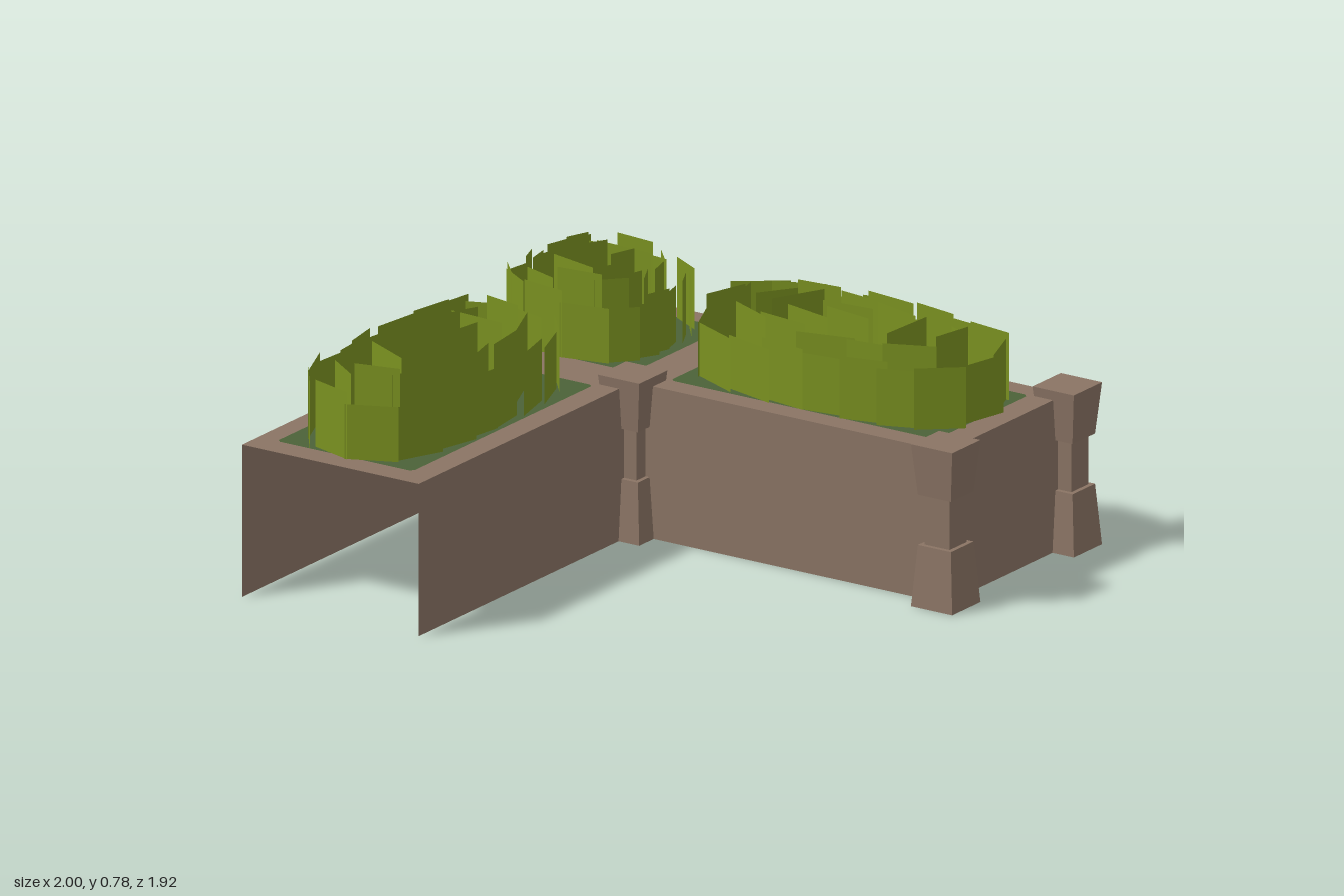
import * as THREE from 'three';

const WALL_H = 0.5;

export function createModel() {
  const model = new THREE.Group();
  model.name = 'cornerPlanter';

  const material = (name, color) => new THREE.MeshStandardMaterial({
    name, color, side: THREE.DoubleSide, flatShading: true });
  const stone = material('stone brown', 0x8a7464);
  const soil = material('soil green', 0x4b6238);
  const leaf = material('leaf green', 0x7a9120);

  const add = (parent, name, geometry, mat) => {
    const mesh = new THREE.Mesh(geometry, mat);
    mesh.name = name;
    parent.add(mesh);
    return mesh;
  };

  // Walls: single sheets, seen from both sides; the front of the arm stays open
  const wall = (name, x1, z1, x2, z2) => {
    const mesh = add(model, name,
      new THREE.PlaneGeometry(Math.hypot(x2 - x1, z2 - z1), WALL_H), stone);
    mesh.position.set((x1 + x2) / 2, WALL_H / 2, (z1 + z2) / 2);
    mesh.rotation.y = Math.atan2(-(z2 - z1), x2 - x1);
  };
  wall('backWall', 0.92, -0.885, -0.92, -0.885);
  wall('rightWall', -0.92, -0.885, -0.92, 0.96);
  wall('leftWall', 0.92, -0.22, 0.92, -0.885);
  wall('frontWall', -0.255, -0.22, 0.92, -0.22);
  wall('armInnerWall', -0.255, 0.96, -0.255, -0.22);

  // Planting beds: x and z ranges of the soil, centre of the clump
  const beds = [
    { x1: -0.87, x2: -0.31, z1: -0.81, z2: -0.3 },
    { x1: -0.17, x2: 0.83, z1: -0.81, z2: -0.3 },
    { x1: -0.85, x2: -0.34, z1: -0.125, z2: 0.87 },
  ];
  const bedOutline = ({ x1, x2, z1, z2 }, r = 0.012) => [
    [x1 + r, z1], [x2 - r, z1], [x2, z1 + r], [x2, z2 - r],
    [x2 - r, z2], [x1 + r, z2], [x1, z2 - r], [x1, z1 + r],
  ].map(([x, z]) => new THREE.Vector2(x, -z));
  const flat = (shape) => new THREE.ShapeGeometry(shape)
    .rotateX(-Math.PI / 2).translate(0, WALL_H, 0);

  // L-shaped rim with an opening for each bed
  const rim = new THREE.Shape([
    [-0.92, 0.96], [-0.255, 0.96], [-0.255, -0.22],
    [0.92, -0.22], [0.92, -0.885], [-0.92, -0.885],
  ].map(([x, z]) => new THREE.Vector2(x, -z)));
  beds.forEach((bed) => rim.holes.push(new THREE.Path(bedOutline(bed))));
  add(model, 'rim', flat(rim), stone);
  beds.forEach((bed) => add(model, 'soil', flat(new THREE.Shape(bedOutline(bed))), soil));

  // Square pillars with a narrow waist, open underneath
  const profile = [
    [0.0775, 0], [0.062, 0.2], [0.047, 0.2], [0.047, 0.365],
    [0.062, 0.365], [0.0775, 0.532], [0, 0.532],
  ].map(([r, y]) => new THREE.Vector2(r * Math.SQRT2, y));
  const pillarGeometry = new THREE.LatheGeometry(profile, 4).rotateY(Math.PI / 4);
  for (const x of [-0.9225, -0.255, 0.9225]) {
    for (const z of [-0.8875, -0.2175]) {
      add(model, 'pillar', pillarGeometry, stone).position.set(x, 0, z);
    }
  }

  // Leaf clump: upright cards in three nested rounded rings, taller inside
  let seed = 11;
  const rand = () => (seed = (seed * 16807) % 2147483647) / 2147483647;
  const cards = [];
  const rings = [
    { a: 0.5, b: 0.24, n: 18, h: 0.2, w: 0.16 },
    { a: 0.38, b: 0.16, n: 13, h: 0.245, w: 0.16 },
    { a: 0.22, b: 0.07, n: 6, h: 0.265, w: 0.17 },
  ];
  const rounded = (v) => Math.sign(v) * Math.pow(Math.abs(v), 0.65);
  for (const { a, b, n, h, w } of rings) {
    const outline = new THREE.CatmullRomCurve3(Array.from({ length: 32 }, (_, i) => {
      const t = (i / 32) * Math.PI * 2;
      return new THREE.Vector3(a * rounded(Math.cos(t)), 0, b * rounded(Math.sin(t)));
    }), true);
    for (let i = 0; i < n; i++) {
      const t = (i + 0.3 * rand()) / n;
      const p = outline.getPointAt(t);
      const d = outline.getTangentAt(t);
      cards.push({
        p, w: w * (0.85 + 0.4 * rand()), h: h + 0.05 * (rand() - 0.5),
        turn: Math.atan2(-d.z, d.x) + Math.PI + 0.5 * (rand() - 0.5),
      });
    }
  }
  const clump = (name, x, z, turn, length, width) => {
    const group = new THREE.Group();
    group.name = name;
    group.position.set(x, WALL_H, z);
    group.rotation.y = turn;
    group.scale.set(length, 1, width);
    for (const { p, w, h, turn: angle } of cards) {
      const card = add(group, 'leafCard', new THREE.PlaneGeometry(w, h)
        .translate(0, h / 2, 0).rotateY(angle), leaf);
      card.position.copy(p);
    }
    model.add(group);
  };
  clump('cornerLeaves', -0.605, -0.55, Math.PI / 2, 0.5, 1.05);
  clump('backLeaves', 0.34, -0.55, 0, 1, 1);
  clump('armLeaves', -0.605, 0.37, Math.PI / 2, 1, 1);

  return model;
}
